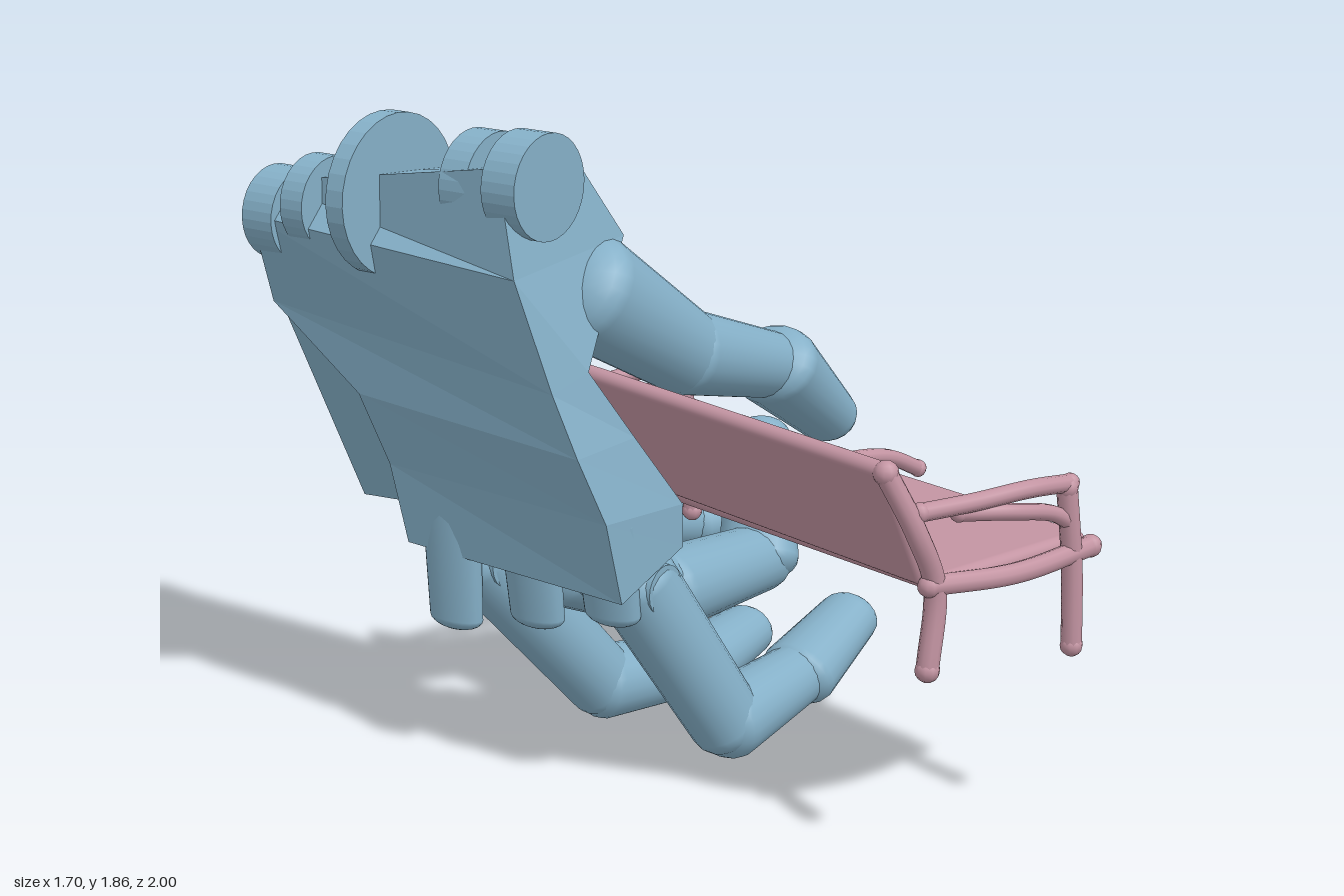
import * as THREE from 'three';
import { RoundedBoxGeometry } from 'three/addons/geometries/RoundedBoxGeometry.js';

const V = (p) => new THREE.Vector3(...p);
const ACROSS = [0.21, 0, 0.98]; // direction across the knuckles

export function createModel() {
  const skin = new THREE.MeshStandardMaterial({ color: 0x85b0c8 });
  const plate = new THREE.MeshStandardMaterial({ color: 0x85b0c8, flatShading: true });
  const pink = new THREE.MeshStandardMaterial({ color: 0xc394a2 });
  const model = new THREE.Group();
  const hand = new THREE.Group();
  const bench = new THREE.Group();
  hand.name = 'hand';
  bench.name = 'bench';
  model.add(hand, bench);

  function add(parent, name, geometry, material, position = [0, 0, 0]) {
    const mesh = new THREE.Mesh(geometry, material);
    mesh.name = name;
    mesh.position.set(...position);
    parent.add(mesh);
    return mesh;
  }

  // Turns a mesh so its y runs along dir and its z lies near side
  function aim(mesh, dir, side = ACROSS) {
    const y = dir.clone().normalize();
    const x = y.clone().cross(V(side)).normalize();
    const z = x.clone().cross(y);
    mesh.quaternion.setFromRotationMatrix(new THREE.Matrix4().makeBasis(x, y, z));
    return mesh;
  }

  // Tapered segment with rounded ends, from a to b; wide stretches it across the hand
  function limb(parent, name, a, b, ra, rb, wide) {
    const dir = V(b).sub(V(a));
    const len = dir.length();
    const profile = [];
    for (let i = 0; i <= 6; i++) {
      const t = (i / 6) * Math.PI / 2;
      profile.push(new THREE.Vector2(ra * Math.sin(t), -ra * 0.7 * Math.cos(t)));
    }
    for (let i = 0; i <= 6; i++) {
      const t = (i / 6) * Math.PI / 2;
      profile.push(new THREE.Vector2(rb * Math.cos(t), len + rb * 0.8 * Math.sin(t)));
    }
    const mesh = add(parent, name, new THREE.LatheGeometry(profile, 20), skin, a);
    mesh.scale.z = wide;
    return aim(mesh, dir);
  }

  // Solid through four-cornered rings, ordered from top to bottom
  function loft(name, rings) {
    const index = [0, 1, 2, 0, 2, 3];
    const last = (rings.length - 1) * 4;
    for (let r = 0; r < last; r += 4) {
      for (let i = 0; i < 4; i++) {
        const a = r + i, b = r + (i + 1) % 4;
        index.push(a, a + 4, b + 4, a, b + 4, b);
      }
    }
    index.push(last, last + 2, last + 1, last, last + 3, last + 2);
    const g = new THREE.BufferGeometry();
    g.setAttribute('position', new THREE.Float32BufferAttribute(rings.flat(2), 3));
    g.setIndex(index);
    g.computeVertexNormals();
    return add(hand, name, g, plate);
  }

  // Palm, corners: back front, inner front, inner rear, back rear
  loft('palm', [
    [[-0.64, 1.78, -0.06], [-0.36, 1.76, -0.09], [-0.46, 1.61, -1.0], [-0.76, 1.63, -0.95]],
    [[-0.64, 1.5, 0.0], [-0.23, 1.55, -0.06], [-0.45, 1.52, -0.99], [-0.83, 1.55, -0.92]],
    [[-0.57, 1.2, 0.06], [-0.45, 1.24, 0.06], [-0.52, 1.32, -0.95], [-0.77, 1.3, -0.92]],
    [[-0.53, 1.03, 0.11], [-0.33, 1.05, 0.1], [-0.42, 1.12, -0.61], [-0.69, 1.08, -0.64]],
    [[-0.47, 0.85, 0.15], [-0.2, 0.85, 0.14], [-0.36, 0.9, -0.58], [-0.63, 0.88, -0.59]],
    [[-0.42, 0.62, 0.15], [-0.2, 0.73, 0.14], [-0.33, 0.73, -0.57], [-0.59, 0.65, -0.57]],
  ]);
  // Separate bar carrying the little finger
  loft('outerPalmBar', [
    [[-0.72, 1.36, -0.76], [-0.47, 1.4, -0.74], [-0.48, 1.38, -0.94], [-0.74, 1.32, -0.95]],
    [[-0.5, 0.72, -0.69], [-0.26, 0.78, -0.67], [-0.28, 0.78, -0.86], [-0.52, 0.7, -0.88]],
  ]);
  // Hinge discs on the wrist: centre, radius, thickness
  [
    [[-0.52, 1.72, -0.07], 0.14, 0.11],
    [[-0.53, 1.7, -0.25], 0.14, 0.09],
    [[-0.63, 1.64, -0.54], 0.22, 0.06],
    [[-0.69, 1.59, -0.77], 0.13, 0.08],
    [[-0.71, 1.54, -0.91], 0.13, 0.11],
  ].forEach(([c, r, t]) => {
    aim(add(hand, 'wristDisc', new THREE.CylinderGeometry(r, r, t, 32), plate, c), V(ACROSS), [0, 1, 0]);
  });
  // Rounded tabs over the knuckles, growing out of the back of the hand
  [[-0.4, 0.82, 0.05, -0.37, 0.56], [-0.46, 0.82, -0.2, -0.43, 0.5], [-0.53, 0.82, -0.45, -0.52, 0.45]]
    .forEach(([x, y, z, x2, y2]) => limb(hand, 'knuckleTab', [x, y, z], [x2, y2, z], 0.05, 0.045, 2));

  // Fingers: joint positions, start and end radius of each segment, nail direction
  const slim = [[0.115, 0.105], [0.11, 0.088], [0.098, 0.078]];
  const fingers = [
    ['indexFinger', [[-0.28, 0.62, 0.04], [-0.01, 0.17, 0.1], [0.33, 0.205, 0.03], [0.59, 0.29, -0.04]],
      slim, [0.6, -0.8, 0.1]],
    ['middleFinger', [[-0.33, 0.62, -0.2], [0.03, 0.46, -0.21], [0.48, 0.43, -0.31], [0.62, 0.74, -0.46]],
      [[0.115, 0.11], [0.12, 0.1], [0.105, 0.08]], [0.9, -0.3, 0]],
    ['ringFinger', [[-0.42, 0.6, -0.46], [-0.03, 0.14, -0.42], [0.33, 0.1, -0.42], [0.59, 0.125, -0.49]],
      slim, [0.4, -0.9, 0]],
    ['littleFinger', [[-0.26, 0.66, -0.74], [0.13, 0.54, -0.7], [0.54, 0.45, -0.66], [0.79, 0.455, -0.6]],
      [[0.1, 0.1], [0.105, 0.085], [0.09, 0.075]], [0.4, -0.9, 0]],
    ['thumb', [[-0.33, 1.41, -0.09], [0.02, 1.18, -0.11], [0.41, 1.06, -0.17], [0.66, 0.86, -0.22]],
      [[0.155, 0.12], [0.12, 0.095], [0.12, 0.085]], [0.8, 0.6, 0.2]],
  ];
  for (const [name, p, r, out] of fingers) {
    const finger = new THREE.Group();
    finger.name = name;
    hand.add(finger);
    ['lowerSegment', 'middleSegment', 'fingertip'].forEach((part, i) =>
      limb(finger, part, p[i], p[i + 1], r[i][0], r[i][1], [1.02, 1.08, 1.2][i]));
    // Hinge pin at the knuckle
    aim(add(finger, 'knucklePin', new THREE.CylinderGeometry(0.07, 0.07, 0.2, 20), skin, p[0]), V(ACROSS), [0, 1, 0]);
    // Nail lying flush on the tip
    const dir = V(p[3]).sub(V(p[2])).normalize();
    const normal = V(out).addScaledVector(dir, -V(out).dot(dir)).normalize();
    const at = V(p[3]).addScaledVector(normal, r[2][1] * 0.9).addScaledVector(dir, -0.03);
    const nail = add(finger, 'nail', new THREE.SphereGeometry(0.055, 16, 10), skin, at.toArray());
    nail.scale.set(0.9, 1.1, 0.22);
    aim(nail, dir, normal.toArray());
  }

  // Bench seat and leaning backrest
  add(bench, 'seat', new RoundedBoxGeometry(0.55, 0.06, 1.5, 3, 0.028), pink, [0.25, 0.785, 0.18]);
  const back = add(bench, 'backrest', new RoundedBoxGeometry(0.05, 0.38, 1.45, 3, 0.024), pink, [-0.1, 0.96, 0.155]);
  back.rotation.set(0.012, 0, 0.44);

  // Bent rod with round ends
  function rod(name, points, r) {
    const curve = new THREE.CatmullRomCurve3(points.map(V));
    add(bench, name, new THREE.TubeGeometry(curve, 24, r, 10), pink);
    for (const end of [points[0], points[points.length - 1]])
      add(bench, name + 'End', new THREE.SphereGeometry(r * 1.1, 10, 8), pink, end);
  }
  // End frames: legs, arm, inner brace and rail
  for (const [z, zBack, footX, footY, hipX] of [[0.965, 0.91, -0.05, 0.565, -0.03], [-0.55, -0.55, -0.13, 0.61, -0.12]]) {
    rod('frontLeg', [[0.43, 0.53, z], [0.42, 0.75, z], [0.39, 0.97, z]], 0.028);
    rod('armRest', [[0.4, 0.98, z], [0.25, 0.995, z], [0.07, 0.99, (z + zBack) / 2], [-0.09, 0.99, zBack]], 0.024);
    rod('armBrace', [[0.41, 0.87, z], [0.34, 0.91, z], [0.2, 0.945, z], [0.05, 0.96, zBack]], 0.022);
    rod('backLeg', [[footX, footY, zBack], [hipX, 0.78, zBack], [-0.1, 0.94, zBack], [-0.17, 1.1, zBack - Math.sign(z) * 0.04]], 0.03);
    rod('endRail', [[-0.05, 0.79, zBack], [0.2, 0.78, z], [0.49, 0.79, z]], 0.028);
  }
  // Centre arm
  rod('centreArm', [[-0.06, 0.95, 0.41], [0.12, 0.965, 0.41], [0.3, 0.94, 0.4], [0.43, 0.88, 0.39]], 0.022);

  return model;
}
